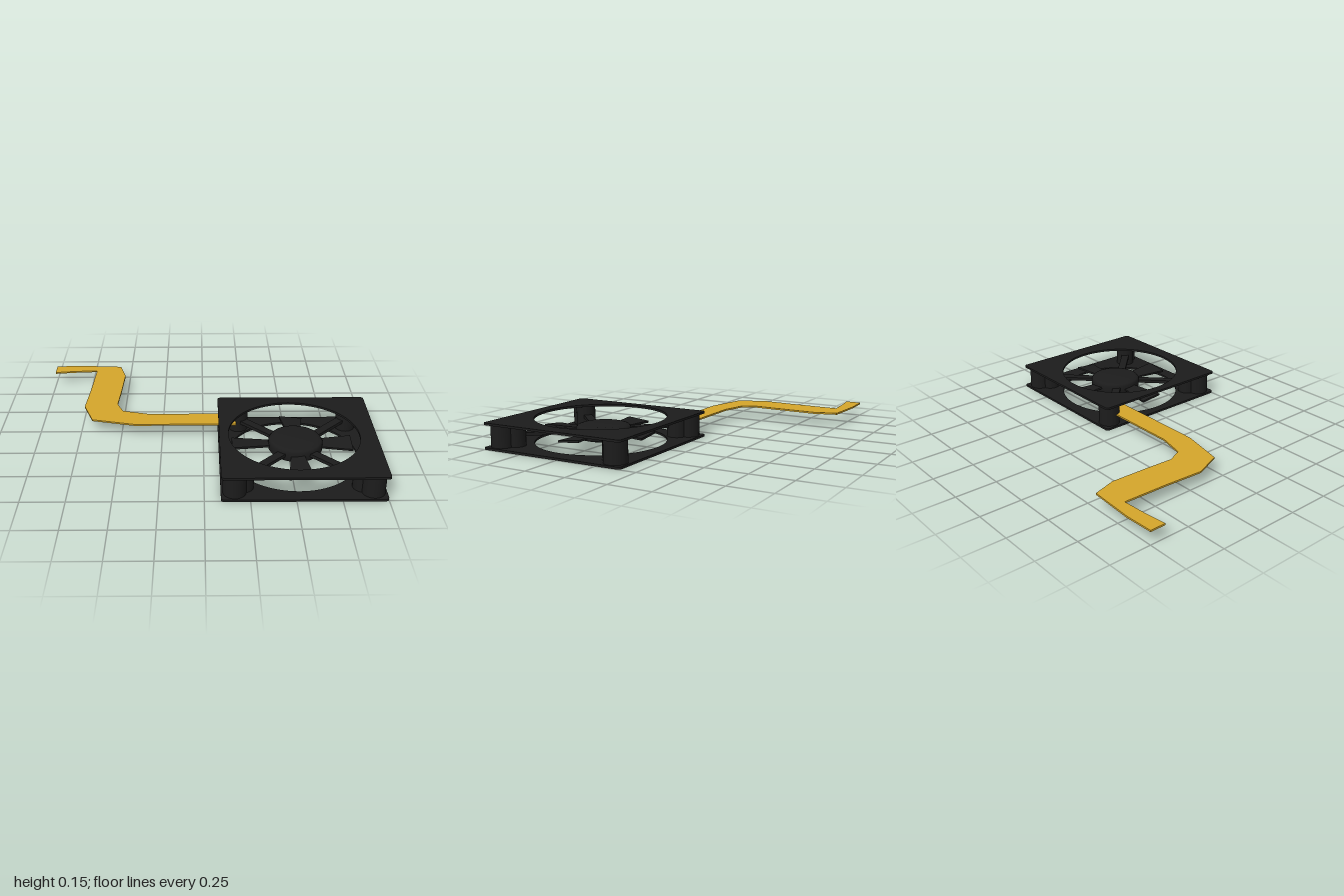
import * as THREE from 'three';

const black = new THREE.MeshStandardMaterial({ color: 0x1c1c1c });
const gold = new THREE.MeshStandardMaterial({ color: 0xd4a52a });

// Extrude a plan outline (drawn with y = -z) upwards from height y
function slab(shape, y, height) {
  const geo = new THREE.ExtrudeGeometry(shape, { depth: height, bevelEnabled: false, curveSegments: 48 });
  return geo.rotateX(-Math.PI / 2).translate(0, y, 0);
}

// Plan outline from [x, z] points
const outline = (pts) => new THREE.Shape(pts.map(([x, z]) => new THREE.Vector2(x, -z)));

export function createModel() {
  const model = new THREE.Group();
  const add = (name, geo, mat = black, parent = model) => {
    const mesh = new THREE.Mesh(geo, mat);
    mesh.name = name;
    parent.add(mesh);
    return mesh;
  };

  const cx = 0.545, cz = 0.302, half = 0.455;

  // Square cover plates with rounded corners and a large round opening
  const r = 0.018, x0 = cx - half, x1 = cx + half, y0 = -cz - half, y1 = -cz + half;
  const plate = new THREE.Shape();
  plate.moveTo(x0 + r, y0);
  plate.absarc(x1 - r, y0 + r, r, -Math.PI / 2, 0);
  plate.absarc(x1 - r, y1 - r, r, 0, Math.PI / 2);
  plate.absarc(x0 + r, y1 - r, r, Math.PI / 2, Math.PI);
  plate.absarc(x0 + r, y0 + r, r, Math.PI, Math.PI * 1.5);
  plate.holes.push(new THREE.Path().absarc(0.523, -0.297, 0.38, 0, Math.PI * 2, true));
  add('bottomPlate', slab(plate, 0, 0.013));
  add('topPlate', slab(plate, 0.14, 0.013));

  // Corner posts: an outer and an inner pillar on each diagonal
  for (const sx of [-1, 1]) {
    for (const sz of [-1, 1]) {
      const post = new THREE.Group();
      post.name = 'cornerPost';
      model.add(post);
      for (const [inset, radius] of [[0.075, 0.065], [0.125, 0.058]]) {
        const geo = new THREE.CylinderGeometry(radius, radius, 0.128, 32);
        geo.translate(cx + sx * (half - inset), 0.0765, cz + sz * (half - inset));
        add('pillar', geo, black, post);
      }
    }
  }

  // Two crossing struts carrying the hub
  for (const angle of [Math.PI / 4, -Math.PI / 4]) {
    const strut = add('strut', new THREE.BoxGeometry(1.08, 0.02, 0.05));
    strut.position.set(0.537, 0.076, 0.304);
    strut.rotation.y = angle;
  }

  // Rotor: rounded hub with four flaring blades
  const rotor = new THREE.Group();
  rotor.name = 'rotor';
  rotor.position.set(0.537, 0.073, 0.27);
  model.add(rotor);
  const profile = [[0, -0.042], [0.125, -0.042], [0.148, -0.035], [0.158, -0.022], [0.158, 0.022],
    [0.148, 0.035], [0.125, 0.042], [0, 0.042]].map(([x, y]) => new THREE.Vector2(x, y));
  add('hub', new THREE.LatheGeometry(profile, 48), black, rotor);

  const blade = outline([[0.1, -0.033], [0.36, -0.07], [0.36, 0.07], [0.1, 0.033]]);
  for (let i = 0; i < 4; i++) {
    const arm = new THREE.Group();
    arm.rotation.y = i * Math.PI / 2;
    rotor.add(arm);
    const mesh = add('blade', slab(blade, -0.006, 0.012), black, arm);
    mesh.rotation.x = 0.1;
    mesh.scale.x = [0.92, 0.84, 1.03, 1.03][i];
  }

  // Flat bent ribbon cable leaving the back of the left side
  const ribbon = outline([
    [-1, -0.75], [-0.83, -0.757], [-0.56, -0.74], [-0.52, -0.6], [-0.53, -0.36], [-0.54, -0.2],
    [-0.5, -0.11], [-0.34, -0.07], [0.2, -0.07], [0.2, 0.06], [-0.42, 0.06], [-0.68, 0],
    [-0.745, -0.17], [-0.73, -0.4], [-0.72, -0.68], [-0.87, -0.67], [-1, -0.655],
  ]);
  add('ribbonCable', slab(ribbon, 0.075, 0.01), gold);

  return model;
}
